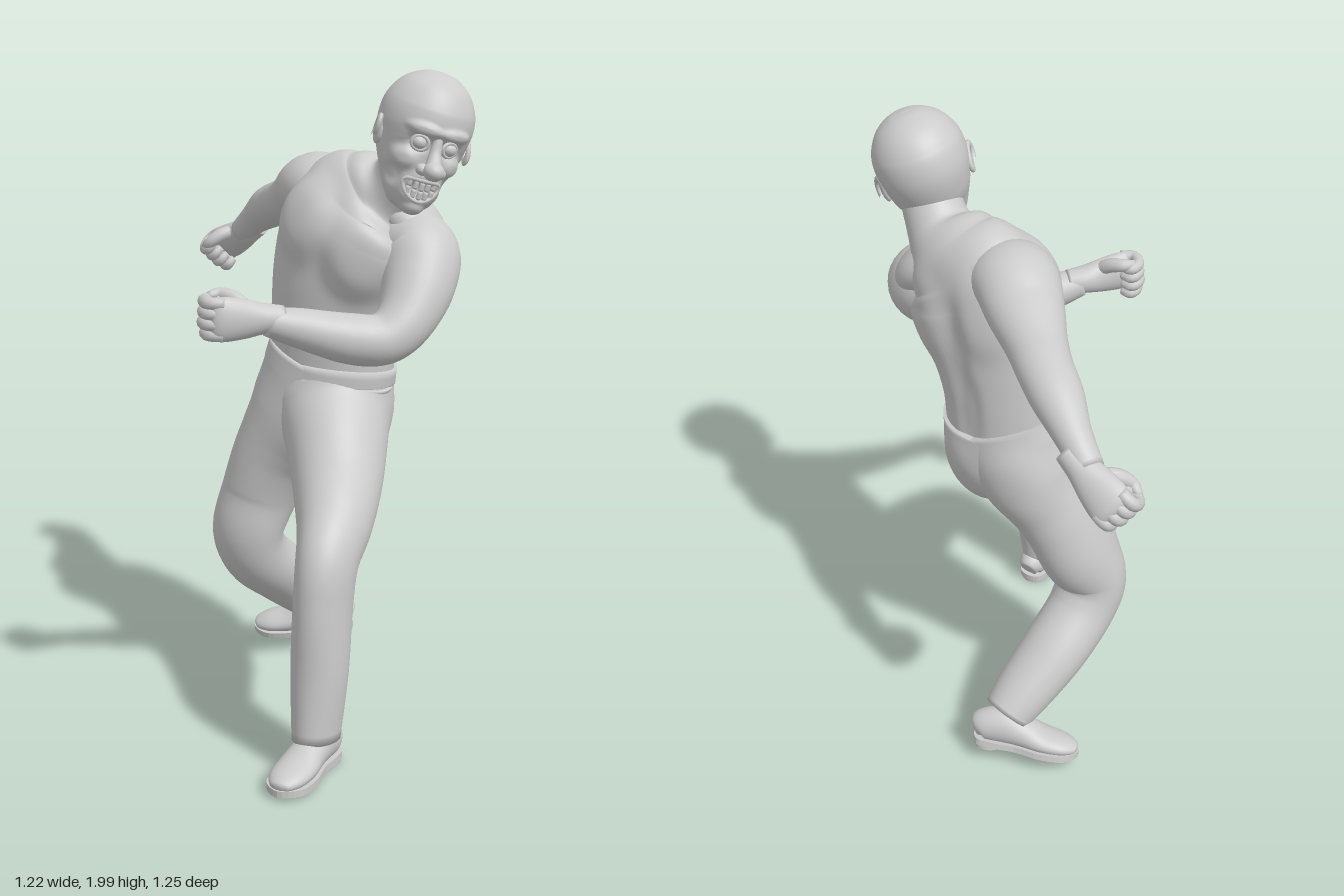
import * as THREE from 'three';

const V = (x, y, z) => new THREE.Vector3(x, y, z);
const mat = new THREE.MeshStandardMaterial({ color: 0xcccccc });

function add(parent, name, geometry) {
  const mesh = new THREE.Mesh(geometry, mat);
  mesh.name = name;
  parent.add(mesh);
  return mesh;
}

function part(parent, name) {
  const g = new THREE.Group();
  g.name = name;
  parent.add(g);
  return g;
}

// Ellipsoid
function ball(parent, name, pos, radii, rotZ = 0) {
  const m = add(parent, name, new THREE.SphereGeometry(1, 32, 20));
  m.position.set(...pos);
  m.scale.set(...radii);
  m.rotation.z = rotZ;
}

// Smooth closed loft through rings [x, y, z, sideRadius, otherRadius]
function loft(parent, name, rings, ref = V(1, 0, 0), sides = 32, steps = 7) {
  const path = new THREE.CatmullRomCurve3(rings.map(r => V(r[0], r[1], r[2])), false, 'catmullrom');
  const size = new THREE.CatmullRomCurve3(rings.map(r => V(r[3], r[4] ?? r[3], 0)), false, 'catmullrom');
  const n = (rings.length - 1) * steps, pos = [], idx = [];
  for (let i = 0; i <= n; i++) {
    const p = path.getPoint(i / n), s = size.getPoint(i / n), t = path.getTangent(i / n);
    const side = ref.clone().addScaledVector(t, -t.dot(ref)).normalize();
    const other = t.clone().cross(side);
    for (let j = 0; j < sides; j++) {
      const a = j / sides * Math.PI * 2;
      const q = p.clone().addScaledVector(side, s.x * Math.cos(a)).addScaledVector(other, s.y * Math.sin(a));
      pos.push(q.x, q.y, q.z);
    }
  }
  const first = pos.length / 3, last = first + 1;
  pos.push(...rings[0].slice(0, 3), ...rings[rings.length - 1].slice(0, 3));
  for (let j = 0; j < sides; j++) {
    const k = (j + 1) % sides;
    for (let i = 0; i < n; i++) {
      const a = i * sides + j, b = i * sides + k;
      idx.push(a, b, a + sides, b, b + sides, a + sides);
    }
    idx.push(first, k, j, last, n * sides + j, n * sides + k);
  }
  const g = new THREE.BufferGeometry();
  g.setAttribute('position', new THREE.Float32BufferAttribute(pos, 3));
  g.setIndex(idx);
  g.computeVertexNormals();
  return add(parent, name, g);
}

// Push a surface out or in around soft ellipsoids [centre, radii, amount]
function sculpt(mesh, bumps) {
  const p = mesh.geometry.attributes.position, nor = mesh.geometry.attributes.normal;
  for (let i = 0; i < p.count; i++) {
    const v = V(0, 0, 0).fromBufferAttribute(p, i), n = V(0, 0, 0).fromBufferAttribute(nor, i);
    let push = 0;
    for (const [c, r, amount] of bumps) {
      const d = v.clone().sub(V(...c)).divide(V(...r)).lengthSq();
      push += amount * Math.exp(-d * d);
    }
    v.addScaledVector(n, push);
    p.setXYZ(i, v.x, v.y, v.z);
  }
  mesh.geometry.computeVertexNormals();
}

// Orient a group so its +z follows fwd and its +y is close to up
function aim(group, pos, fwd, up) {
  const z = fwd.normalize(), x = up.cross(z).normalize(), y = z.clone().cross(x);
  group.quaternion.setFromRotationMatrix(new THREE.Matrix4().makeBasis(x, y, z));
  group.position.set(...pos);
}

// Clenched fist; s is the side the palm faces
function fist(parent, name, pos, fwd, up, s) {
  const g = part(parent, name);
  aim(g, pos, fwd, up);
  loft(g, 'palm', [[0, 0, -0.16, 0.038], [0, 0, -0.1, 0.043, 0.045], [-s * 0.006, 0, -0.05, 0.038, 0.056],
    [-s * 0.014, 0, 0.01, 0.033, 0.064], [-s * 0.016, 0, 0.04, 0.025, 0.06], [-s * 0.012, 0, 0.055, 0.008, 0.04]]);
  for (let i = 0; i < 4; i++) {
    const y = (i - 1.5) * 0.03, k = i === 0 ? 0.88 : 1;
    const pts = [[-0.024, 0.02], [-0.01, 0.062], [0.035, 0.064], [0.06, 0.035], [0.038, 0.008]];
    loft(g, 'finger', pts.map(([x, z], j) => [s * x * k, y, z * k, j === 4 ? 0.012 : 0.0185]), V(0, 1, 0), 12, 4);
  }
  loft(g, 'thumb', [[0, 0.03, -0.05, 0.022], [s * 0.03, 0.052, -0.02, 0.023],
    [s * 0.056, 0.06, 0.015, 0.019], [s * 0.048, 0.056, 0.05, 0.011]], V(0, 1, 0), 12, 4);
}

function shoe(parent, name, pos, fwd, up) {
  const g = part(parent, name);
  aim(g, pos, fwd, up);
  loft(g, 'upper', [[0, 0.055, -0.095, 0.03, 0.032], [0, 0.068, -0.07, 0.046, 0.052], [0, 0.078, 0, 0.052, 0.062],
    [0, 0.066, 0.06, 0.055, 0.05], [0, 0.052, 0.12, 0.062, 0.038], [0, 0.045, 0.185, 0.056, 0.029],
    [0, 0.04, 0.225, 0.034, 0.018], [0, 0.038, 0.236, 0.012, 0.008]]);
  // Flat sole and heel
  const half = [[0, -0.1], [0.04, -0.085], [0.05, -0.03], [0.05, 0.04], [0.067, 0.13], [0.055, 0.205], [0, 0.242]];
  const outline = [...half, ...half.slice(1, -1).reverse().map(([x, z]) => [-x, z])];
  const curve = new THREE.CatmullRomCurve3(outline.map(([x, z]) => V(x, z, 0)), true);
  const shape = new THREE.Shape(curve.getPoints(48).slice(0, -1).map(p => new THREE.Vector2(p.x, p.y)));
  const sole = new THREE.ExtrudeGeometry(shape, { depth: 0.02, bevelEnabled: false });
  add(g, 'sole', sole.rotateX(Math.PI / 2)).position.y = 0.032;
  const heel = add(g, 'heel', new THREE.CylinderGeometry(0.049, 0.047, 0.025, 24));
  heel.position.set(0, 0.0125, -0.05);
}

function head(parent) {
  const g = part(parent, 'head');
  aim(g, [0.455, 1.8, -0.07], V(0.69, -0.15, 0.69), V(0.29, 0.94, -0.09));
  // Skull and jaw with brows, sockets, cheekbones, muzzle and chin
  const skull = loft(g, 'skull', [[0, 0.197, -0.02, 0.008], [0, 0.188, -0.02, 0.052], [0, 0.155, -0.02, 0.1, 0.105],
    [0, 0.1, -0.02, 0.132, 0.14], [0, 0.04, -0.018, 0.138, 0.147], [0, -0.02, -0.006, 0.127, 0.13],
    [0, -0.08, 0.018, 0.108, 0.1], [0, -0.14, 0.04, 0.084, 0.076], [0, -0.18, 0.053, 0.056, 0.054],
    [0, -0.2, 0.058, 0.015]], V(1, 0, 0), 96, 10);
  const features = [[[0, -0.122, 0.12], [0.066, 0.05, 0.05], 0.008], [[0, -0.122, 0.13], [0.046, 0.026, 0.05], -0.024],
    [[0, -0.185, 0.1], [0.036, 0.02, 0.04], 0.014]];
  for (const s of [-1, 1]) features.push(
    [[s * 0.048, 0.05, 0.115], [0.046, 0.017, 0.05], 0.014], [[s * 0.046, 0.01, 0.11], [0.032, 0.025, 0.05], -0.016],
    [[s * 0.072, -0.045, 0.085], [0.034, 0.028, 0.05], 0.014], [[s * 0.085, -0.1, 0.06], [0.028, 0.03, 0.04], -0.008]);
  sculpt(skull, features);
  // Nose
  loft(g, 'noseBridge', [[0, 0.035, 0.112, 0.013], [0, -0.01, 0.124, 0.018], [0, -0.05, 0.146, 0.026]], V(1, 0, 0), 16);
  ball(g, 'noseTip', [0, -0.053, 0.155], [0.031, 0.027, 0.032]);
  for (const s of [-1, 1]) {
    ball(g, 'nostril', [s * 0.026, -0.058, 0.134], [0.02, 0.017, 0.021]);
    // Eye and its lids
    ball(g, 'eye', [s * 0.046, 0.008, 0.093], [0.024, 0.021, 0.024]);
    const lid = add(g, 'eyelid', new THREE.TorusGeometry(0.024, 0.006, 10, 24));
    lid.position.set(s * 0.046, 0.008, 0.103);
    lid.rotation.y = s * 0.35;
    lid.scale.y = 0.85;
    // Ear
    ball(g, 'ear', [s * 0.128, -0.004, -0.015], [0.014, 0.042, 0.026]);
    const rim = add(g, 'earRim', new THREE.TorusGeometry(0.025, 0.008, 10, 24, Math.PI * 1.5));
    rim.position.set(s * 0.138, 0, -0.018);
    rim.rotation.set(0, s * (Math.PI / 2 + 0.3), -0.6, 'YXZ');
    rim.scale.y = 1.5;
  }
  // Wide grin, corners bent back around the jaw
  const bend = x => 0.114 - 6 * x * x;
  const rim = Array.from({ length: 24 }, (_, i) => {
    const a = i / 24 * Math.PI * 2, x = 0.056 * Math.cos(a);
    return V(x, -0.124 + 0.031 * Math.sin(a) + 5 * x * x, bend(x));
  });
  add(g, 'lips', new THREE.TubeGeometry(new THREE.CatmullRomCurve3(rim, true), 64, 0.0065, 8, true));
  for (const row of [-1, 1]) for (let i = -2; i <= 2; i++) {
    const x = i * 0.0185, tooth = add(g, 'tooth', new THREE.CapsuleGeometry(0.008, 0.013, 4, 10));
    tooth.position.set(x, -0.124 + row * 0.013 + 5 * x * x, bend(x) - 0.003);
  }
}

export function createModel() {
  const model = new THREE.Group();
  model.name = 'figure';

  // Bare torso curving up into the neck
  const torso = loft(model, 'torso', [[0.13, 1.06, -0.13, 0.2, 0.162], [0.14, 1.2, -0.127, 0.202, 0.167],
    [0.165, 1.34, -0.125, 0.222, 0.173], [0.19, 1.44, -0.126, 0.235, 0.173], [0.215, 1.515, -0.13, 0.238, 0.167],
    [0.25, 1.575, -0.138, 0.22, 0.15], [0.303, 1.62, -0.14, 0.16, 0.122], [0.37, 1.67, -0.122, 0.1, 0.093],
    [0.445, 1.785, -0.085, 0.087, 0.088]], V(1, 0, 0), 96, 11);
  // Pectorals, shoulder blades, spine
  sculpt(torso, [[[0.105, 1.57, 0.03], [0.105, 0.125, 0.13], 0.03], [[0.315, 1.46, 0.03], [0.108, 0.125, 0.13], 0.034],
    [[0.1, 1.54, -0.28], [0.1, 0.14, 0.1], 0.018], [[0.33, 1.45, -0.28], [0.1, 0.14, 0.1], 0.022],
    [[0.19, 1.4, -0.29], [0.04, 0.16, 0.08], -0.01], [[0.155, 1.18, -0.29], [0.045, 0.15, 0.08], -0.01]]);
  ball(model, 'rightTrapezius', [0.17, 1.645, -0.18], [0.16, 0.065, 0.09], -0.05);
  ball(model, 'leftTrapezius', [0.385, 1.555, -0.155], [0.13, 0.07, 0.105], -0.75);

  // Right arm swung back, left arm bent across the front
  loft(model, 'rightArm', [[0.17, 1.575, -0.13, 0.085, 0.11], [0.06, 1.625, -0.18, 0.108, 0.125],
    [-0.035, 1.588, -0.255, 0.093, 0.112], [-0.13, 1.553, -0.335, 0.078, 0.088], [-0.2, 1.535, -0.395, 0.072, 0.08],
    [-0.28, 1.505, -0.45, 0.069, 0.074], [-0.37, 1.455, -0.508, 0.053], [-0.45, 1.4, -0.548, 0.042]], V(0, 1, 0));
  fist(model, 'rightFist', [-0.515, 1.35, -0.565], V(-0.85, -0.5, -0.12), V(0, 0.85, 0.5), 1);
  loft(model, 'leftArm', [[0.32, 1.52, -0.13, 0.08], [0.42, 1.465, -0.12, 0.122], [0.46, 1.38, -0.05, 0.11],
    [0.462, 1.29, 0.04, 0.086], [0.425, 1.245, 0.108, 0.076], [0.35, 1.253, 0.178, 0.073],
    [0.25, 1.288, 0.27, 0.058], [0.18, 1.313, 0.338, 0.042]], V(0.7, 0.1, -0.4));
  fist(model, 'leftFist', [0.105, 1.328, 0.422], V(-0.67, 0.06, 0.73), V(0, 1, 0), -1);

  // Trousers: each half runs from the shared waist down one leg
  const rightLeg = loft(model, 'rightTrouserHalf', [[0.133, 1.105, -0.13, 0.21, 0.171], [0.1, 1.02, -0.127, 0.205, 0.174],
    [0.04, 0.92, -0.117, 0.182, 0.168], [-0.02, 0.835, -0.108, 0.148, 0.155], [-0.062, 0.76, -0.1, 0.13, 0.146],
    [-0.102, 0.65, -0.088, 0.12, 0.134], [-0.13, 0.53, -0.06, 0.116, 0.11], [-0.128, 0.43, -0.105, 0.108, 0.108],
    [-0.108, 0.33, -0.225, 0.106, 0.1], [-0.075, 0.23, -0.345, 0.094, 0.088], [-0.055, 0.165, -0.42, 0.078, 0.078]],
    V(1, 0, 0), 56);
  const leftLeg = loft(model, 'leftTrouserHalf', [[0.133, 1.105, -0.13, 0.21, 0.171], [0.128, 1.03, -0.125, 0.205, 0.174],
    [0.162, 0.95, -0.09, 0.178, 0.174], [0.215, 0.87, -0.015, 0.155, 0.166], [0.275, 0.78, 0.09, 0.135, 0.145],
    [0.335, 0.705, 0.215, 0.112, 0.122], [0.368, 0.625, 0.315, 0.088, 0.108], [0.372, 0.5, 0.345, 0.082, 0.104],
    [0.372, 0.3, 0.362, 0.082, 0.094], [0.372, 0.1, 0.38, 0.066, 0.088]], V(1, 0, 0), 56);
  sculpt(rightLeg, [[[0.01, 0.95, -0.27], [0.12, 0.13, 0.12], 0.014]]);
  sculpt(leftLeg, [[[0.2, 0.93, -0.24], [0.13, 0.14, 0.12], 0.022]]);

  shoe(model, 'rightShoe', [-0.065, 0.055, -0.455], V(-0.9, -0.08, 0.42), V(0, 0.95, 0.25));
  shoe(model, 'leftShoe', [0.375, 0.004, 0.38], V(0.03, 0, 1), V(0, 1, 0));
  head(model);
  return model;
}
